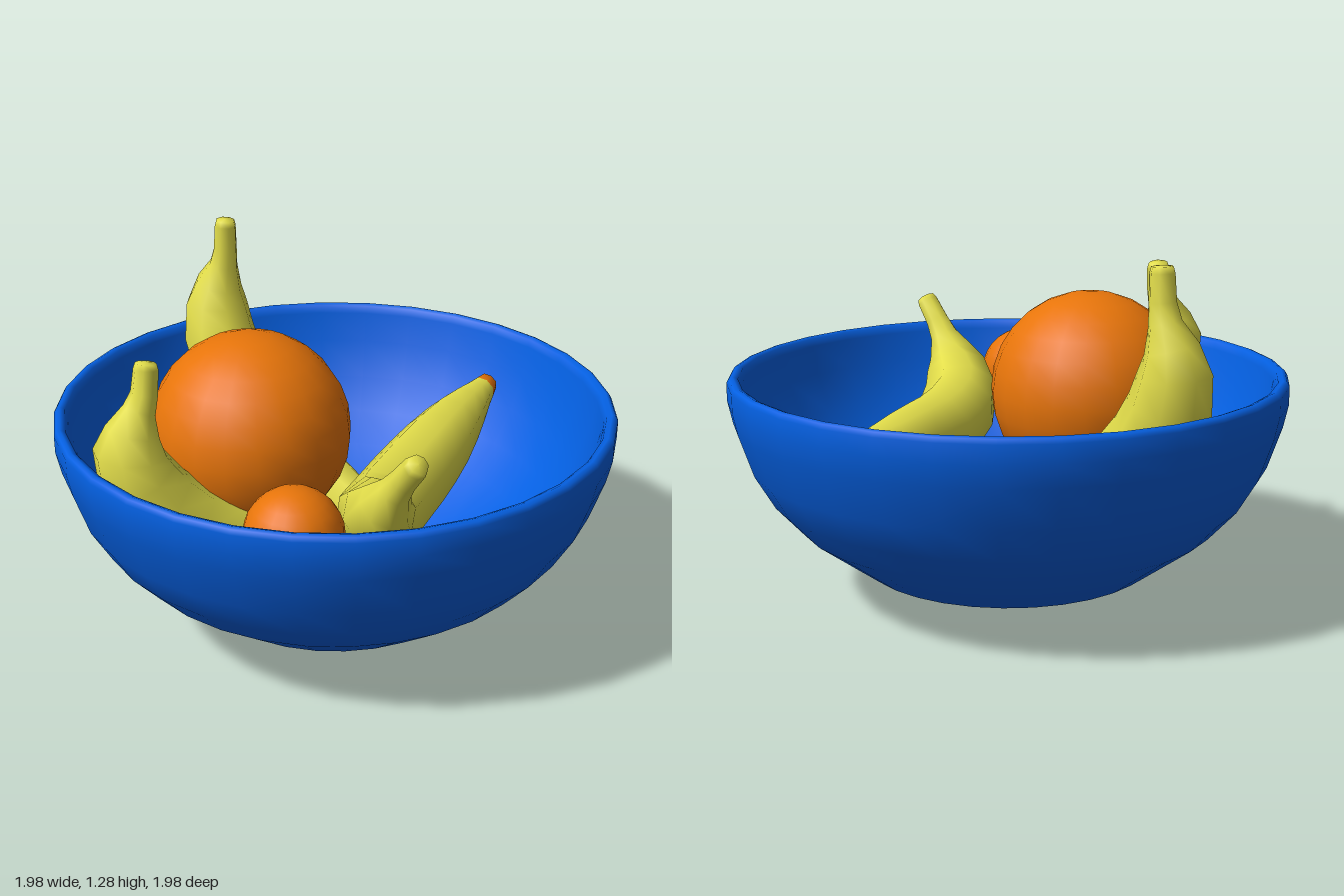
import * as THREE from 'three';

const mat = (name, color) => {
  const m = new THREE.MeshStandardMaterial({ color });
  m.name = name;
  return m;
};
const blue = mat('bowl blue', 0x0460e2);
const orange = mat('orange peel', 0xe8750a);
const yellow = mat('banana yellow', 0xe2dd4a);

// Banana rings: [fraction of length from stem, radius]
const RINGS = [
  [0, 0], [0.002, 0.036], [0.015, 0.042], [0.07, 0.046], [0.11, 0.056], [0.16, 0.092],
  [0.21, 0.124], [0.28, 0.142], [0.36, 0.147], [0.45, 0.147], [0.54, 0.147], [0.63, 0.142],
  [0.72, 0.132], [0.81, 0.113], [0.89, 0.085], [0.94, 0.062], [0.968, 0.051], [0.995, 0.04], [1, 0],
];
const SIDES = 8;
const TIP_RING = 16; // the dark tip starts here

// Sweep the rings along a smooth path
function banana(name, path) {
  const curve = new THREE.CatmullRomCurve3(path.map((p) => new THREE.Vector3(...p)), false, 'centripetal');
  const chord = curve.getPoint(1).sub(curve.getPoint(0));
  const side = new THREE.Vector3(chord.z, 0, -chord.x).normalize();
  const pos = [];
  const index = [];
  RINGS.forEach(([u, r], j) => {
    const c = curve.getPointAt(u);
    const t = curve.getTangentAt(u);
    const a = side.clone().addScaledVector(t, -side.dot(t)).normalize();
    const b = t.clone().cross(a);
    for (let i = 0; i < SIDES; i++) {
      const ang = ((i + 0.5) / SIDES) * Math.PI * 2;
      const v = c.clone()
        .addScaledVector(a, r * Math.cos(ang))
        .addScaledVector(b, r * Math.sin(ang));
      pos.push(v.x, v.y, v.z);
      if (j < RINGS.length - 1) {
        const k = (i + 1) % SIDES;
        const p = j * SIDES + i, q = j * SIDES + k;
        index.push(p, q, p + SIDES, q, q + SIDES, p + SIDES);
      }
    }
  });
  const g = new THREE.BufferGeometry();
  g.setAttribute('position', new THREE.Float32BufferAttribute(pos, 3));
  g.setIndex(index);
  g.computeVertexNormals();
  const split = TIP_RING * SIDES * 6;
  g.addGroup(0, split, 0);
  g.addGroup(split, index.length - split, 1);
  const mesh = new THREE.Mesh(g, [yellow, orange]);
  mesh.name = name;
  return mesh;
}

function fruitBall(name, r, x, y, z) {
  const mesh = new THREE.Mesh(new THREE.SphereGeometry(r, 20, 14), orange);
  mesh.position.set(x, y, z);
  mesh.name = name;
  return mesh;
}

export function createModel() {
  const group = new THREE.Group();
  group.name = 'fruitBowl';

  // Bowl: outer wall, rounded rim, inner wall
  const profile = [
    [0, 0], [0.23, 0.005], [0.53, 0.11], [0.76, 0.28], [0.86, 0.39], [0.93, 0.51], [0.98, 0.66],
    [0.997, 0.74], [0.997, 0.805], [0.988, 0.82], [0.975, 0.825], [0.957, 0.818], [0.948, 0.79],
    [0.925, 0.68], [0.87, 0.54], [0.79, 0.42], [0.69, 0.32], [0.49, 0.18], [0.23, 0.08], [0, 0.065],
  ].map(([x, y]) => new THREE.Vector2(x, y));
  const bowl = new THREE.Mesh(new THREE.LatheGeometry(profile, 32, Math.PI / 32), blue);
  bowl.name = 'bowl';
  group.add(bowl);

  // Round fruit
  group.add(fruitBall('largeOrange', 0.36, -0.175, 0.73, 0.25));
  group.add(fruitBall('smallOrange', 0.167, 0.42, 0.665, 0.575));

  // Bananas, stem end first
  group.add(banana('sideBanana', [
    [-0.765, 1.285, -0.14], [-0.775, 1.13, -0.14], [-0.81, 0.97, -0.125], [-0.79, 0.82, -0.115],
    [-0.64, 0.6, -0.115], [-0.38, 0.44, -0.12], [-0.1, 0.34, -0.135], [0.1, 0.3, -0.15], [0.22, 0.28, -0.16],
  ]));
  group.add(banana('frontBanana', [
    [-0.13, 1.14, 0.72], [-0.125, 1.03, 0.74], [-0.13, 0.9, 0.795], [-0.13, 0.77, 0.8],
    [-0.07, 0.57, 0.67], [0.02, 0.41, 0.43], [0.13, 0.34, 0.2], [0.2, 0.33, 0.03], [0.23, 0.33, -0.08],
  ]));
  group.add(banana('topBanana', [
    [0.735, 0.955, 0.335], [0.645, 0.845, 0.325], [0.55, 0.71, 0.31], [0.435, 0.605, 0.215],
    [0.29, 0.56, -0.04], [0.18, 0.57, -0.3], [0.08, 0.6, -0.56], [0.015, 0.66, -0.81],
  ]));
  return group;
}
